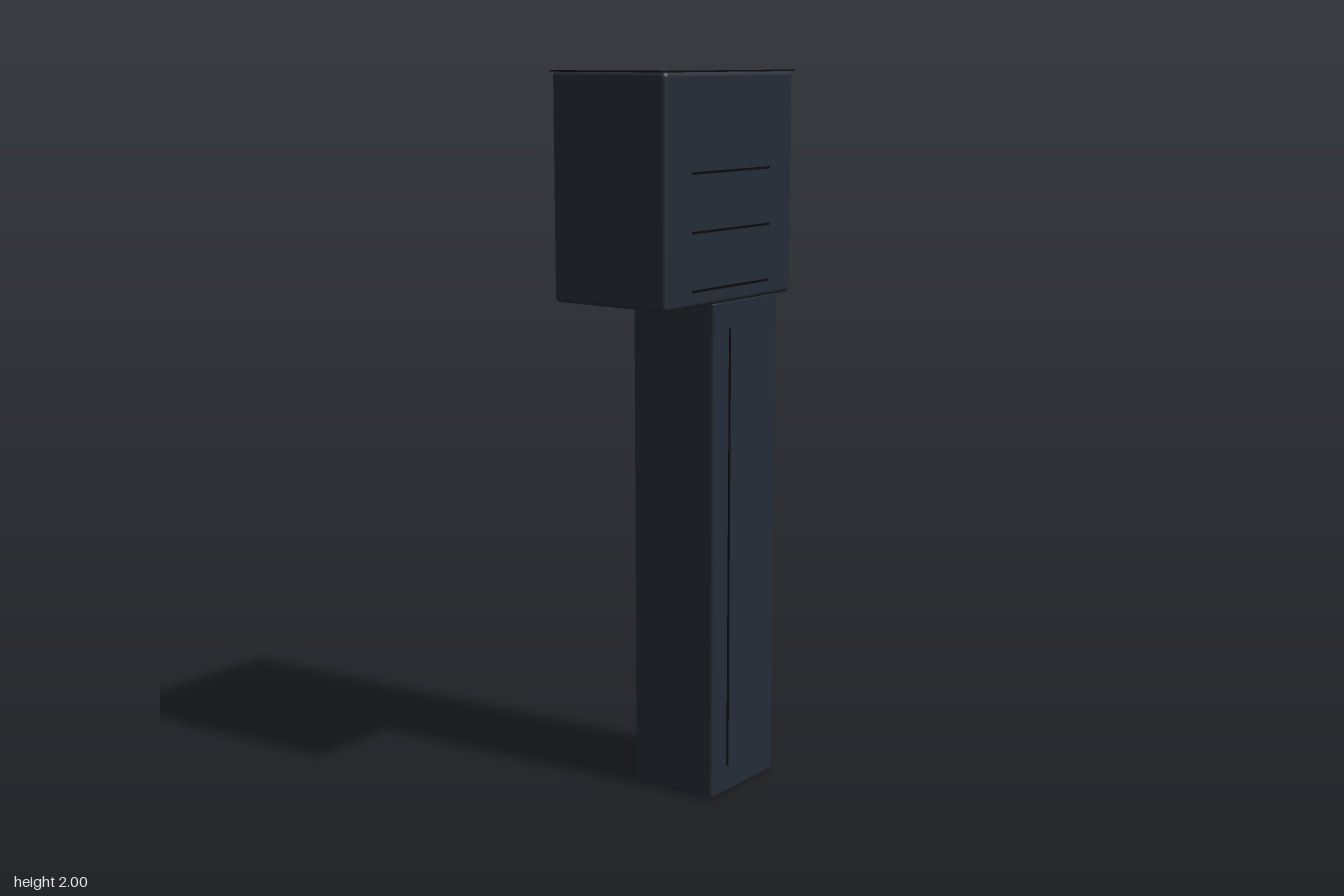
import * as THREE from 'three';
import { RoundedBoxGeometry } from 'three/addons/geometries/RoundedBoxGeometry.js';

export function createModel() {
  const model = new THREE.Group();
  const shell = new THREE.MeshStandardMaterial({ color: 0x252c36 });
  const dark = new THREE.MeshStandardMaterial({ color: 0x0a0a0c });

  function add(name, geometry, material, x, y, z) {
    const mesh = new THREE.Mesh(geometry, material);
    mesh.name = name;
    mesh.position.set(x, y, z);
    model.add(mesh);
  }
  const bar = (w, h, d) => new THREE.BoxGeometry(w, h, d);

  // Upright column, flush with one side of the head
  add('column', new RoundedBoxGeometry(0.298, 1.4, 0.272, 3, 0.01), shell, 0.134, 0.7, 0.002);
  add('columnSeam', bar(0.006, 1.24, 0.006), dark, 0.058, 0.7, 0.138);

  // Overhanging head
  add('head', new RoundedBoxGeometry(0.567, 0.597, 0.369, 3, 0.014), shell, 0, 1.7, -0.002);

  // Horizontal slots on the front of the head
  for (const y of [1.445, 1.595, 1.745]) {
    add('headSlot', bar(0.342, 0.006, 0.006), dark, 0, y, 0.183);
  }

  // Fine trim along two upper edges
  add('frontTrim', bar(0.571, 0.004, 0.004), dark, 0, 1.998, 0.183);
  add('sideTrim', bar(0.004, 0.004, 0.374), dark, -0.284, 1.998, -0.002);

  return model;
}
